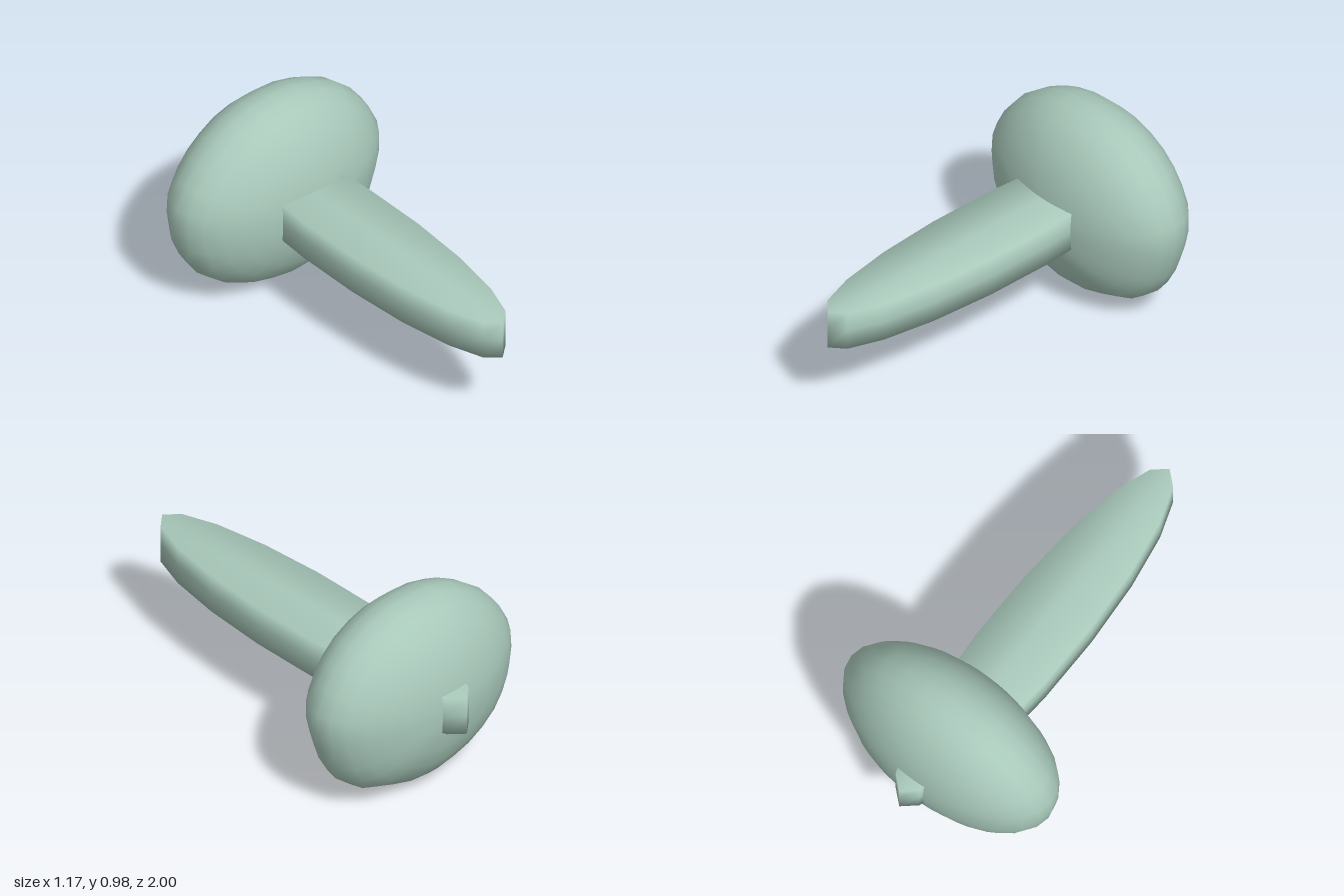
import * as THREE from 'three';
import { mergeVertices } from 'three/addons/utils/BufferGeometryUtils.js';
import { ParametricGeometry } from 'three/addons/geometries/ParametricGeometry.js';

// Weld all vertices so shading runs smoothly over every edge
function weld(geometry) {
  geometry.deleteAttribute('uv');
  geometry.deleteAttribute('normal');
  const merged = mergeVertices(geometry, 1e-4);
  merged.computeVertexNormals();
  return merged;
}

export function createModel() {
  const model = new THREE.Group();
  const paleGreen = new THREE.MeshStandardMaterial({ color: 0xa8c8ba });
  paleGreen.name = 'paleGreen';

  // Long flat bar with an elliptical plan, running through the head
  const barGeometry = new THREE.CylinderGeometry(1, 1, 0.2, 18, 2);
  barGeometry.scale(0.2, 1, 1);
  const bar = new THREE.Mesh(weld(barGeometry), paleGreen);
  bar.name = 'bar';
  bar.position.set(0, 0.5, 0);
  model.add(bar);

  // Rounded head: a slightly uneven outline swept through a half circle in depth
  const outline = [
    [0.583, 0.49], [0.582, 0.6], [0.53, 0.71], [0.462, 0.8], [0.37, 0.88], [0.25, 0.94], [0.125, 0.975],
    [0, 0.982], [-0.13, 0.972], [-0.25, 0.937], [-0.36, 0.872], [-0.45, 0.8], [-0.527, 0.705], [-0.578, 0.605],
    [-0.585, 0.5], [-0.568, 0.385], [-0.525, 0.283], [-0.46, 0.19], [-0.36, 0.11], [-0.25, 0.054], [-0.125, 0.02],
    [0, 0], [0.125, 0.014], [0.25, 0.055], [0.37, 0.102], [0.465, 0.183], [0.522, 0.283], [0.557, 0.385],
  ];
  const centreY = 0.495;
  const n = outline.length;
  const headGeometry = new ParametricGeometry((u, v, target) => {
    const [x, y] = outline[Math.round(u * n) % n];
    const ring = Math.sin(v * Math.PI);
    target.set(x * ring, (y - centreY) * ring, -0.307 * Math.cos(v * Math.PI));
  }, n, 14);
  const head = new THREE.Mesh(weld(headGeometry), paleGreen);
  head.name = 'head';
  head.position.set(0, centreY, -0.617);
  model.add(head);

  return model;
}
